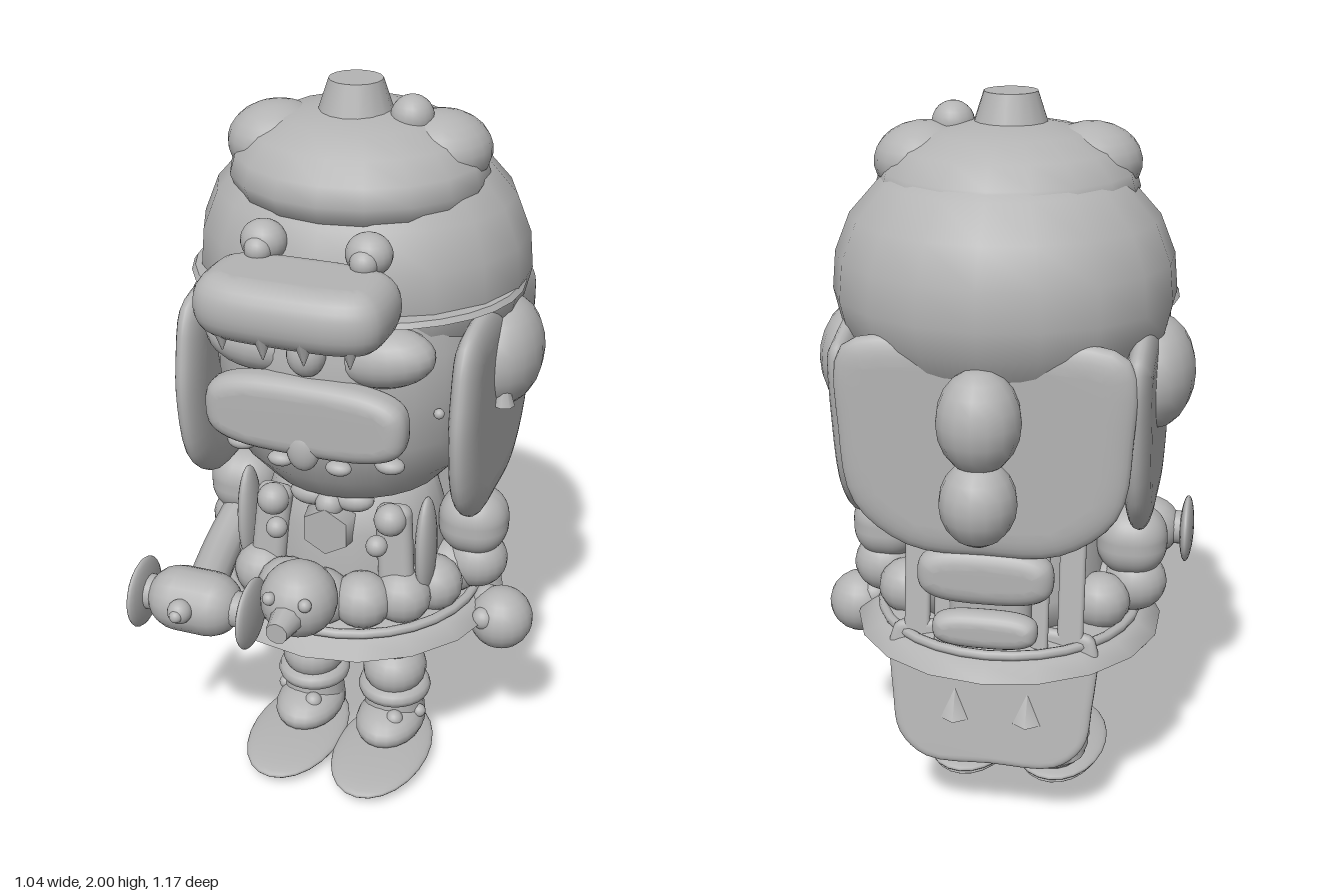
import * as THREE from 'three';
import { RoundedBoxGeometry } from 'three/addons/geometries/RoundedBoxGeometry.js';
import { mergeVertices } from 'three/addons/utils/BufferGeometryUtils.js';

export function createModel() {
  const model = new THREE.Group();
  const grey = new THREE.MeshStandardMaterial({ color: 0xb4b4b4 });
  grey.name = 'clayGrey';
  const C = -0.015; // centre line of the figure

  const add = (name, geo, x, y, z, rx = 0, ry = 0, rz = 0) => {
    const m = new THREE.Mesh(geo, grey);
    m.name = name;
    m.position.set(x, y, z);
    m.rotation.set(rx, ry, rz);
    model.add(m);
    return m;
  };
  const ball = (name, x, y, z, a, b = a, c = a, seg = 20) =>
    add(name, new THREE.SphereGeometry(1, seg, Math.round(seg * 0.65)).scale(a, b, c), x, y, z);
  const box = (name, x, y, z, w, h, d, r, rx = 0, rz = 0) =>
    add(name, new RoundedBoxGeometry(w, h, d, 5, r), x, y, z, rx, 0, rz);
  const cone = (name, x, y, z, top, bottom, h, rx = 0, rz = 0, seg = 16) =>
    add(name, new THREE.CylinderGeometry(top, bottom, h, seg), x, y, z, rx, 0, rz);
  const turned = (name, profile, x, y, z, seg, depthScale) => {
    const geo = new THREE.LatheGeometry(profile.map((p) => new THREE.Vector2(...p)), seg);
    add(name, geo.scale(1, 1, depthScale), x, y, z);
  };
  const pair = (fn) => [-1, 1].forEach(fn);
  // closed soft outline swollen to a smooth cushion, centred in depth
  const cushion = (points, depth, swell, edge) => {
    const curve = new THREE.CatmullRomCurve3(points.map(([x, y]) => new THREE.Vector3(x, y, 0)), true);
    const shape = new THREE.Shape(curve.getPoints(44).slice(0, -1).map((p) => new THREE.Vector2(p.x, p.y)));
    const geo = new THREE.ExtrudeGeometry(shape, {
      depth, bevelEnabled: true, bevelThickness: swell, bevelSize: edge, bevelOffset: -edge, bevelSegments: 6,
    }).translate(0, 0, -depth / 2);
    geo.deleteAttribute('uv');
    geo.deleteAttribute('normal');
    const smooth = mergeVertices(geo, 1e-4);
    smooth.computeVertexNormals();
    return smooth;
  };
  // rounded rectangle as a superellipse
  const roundel = (w, h, power) => Array.from({ length: 24 }, (_, i) => {
    const a = (i / 24) * Math.PI * 2;
    const bend = (v) => Math.sign(v) * Math.abs(v) ** (2 / power);
    return [w * bend(Math.cos(a)), h * bend(Math.sin(a))];
  });

  // Head and helmet
  const skull = [[0, 0.875], [0.14, 0.885], [0.25, 0.925], [0.325, 1.01], [0.365, 1.12], [0.38, 1.25], [0.38, 1.38], [0.34, 1.52]];
  turned('head', skull, C, 0, -0.03, 26, 0.97);
  const dome = [[0.39, 1.36], [0.43, 1.42], [0.449, 1.5], [0.44, 1.6], [0.4, 1.7], [0.32, 1.79], [0.2, 1.86], [0, 1.88]];
  turned('helmet', dome, C, 0, -0.1, 18, 0.895);
  cone('brim', C, 1.49, -0.04, 0.44, 0.45, 0.014, 0, 0, 32).scale.z = 0.86;

  // Lumpy crown with spout
  const crown = [[0.28, 1.68], [0.325, 1.715], [0.342, 1.76], [0.328, 1.81], [0.28, 1.865], [0.2, 1.905], [0.1, 1.925], [0, 1.93]];
  turned('crown', crown, C, 0, -0.055, 18, 0.94);
  pair((s) => ball('crownPuff', C + s * 0.21, 1.825, -0.05 - s * 0.03, 0.132, 0.1, 0.14));
  ball('crownKnob', 0.13, 1.915, -0.038, 0.056);
  cone('spout', -0.02, 1.955, -0.038, 0.07, 0.1, 0.09);

  // Snout on the helmet, with eyes and teeth
  add('snout', cushion(roundel(0.25, 0.147, 3.4), 0.016, 0.074, 0.07), -0.02, 1.558, 0.387, Math.PI / 2);
  pair((s) => {
    ball('snoutEye', C + s * 0.138, 1.66, 0.268, 0.06, 0.055, 0.055);
    ball('snoutPupil', C + s * 0.138, 1.65, 0.305, 0.036);
  });
  [-0.18, -0.065, 0.04, 0.15].forEach((x, i) =>
    cone('tooth', x, 1.487, i % 3 ? 0.5 : 0.48, 0.028, 0.002, 0.07, 0, 0, 8));

  // Face
  pair((s) => {
    ball('brow', C + s * 0.17, 1.385, 0.255, 0.14, 0.08, 0.085).rotation.z = s * 0.12;
    ball('cheekBead', C + s * 0.305, 1.22, 0.2, 0.014);
    ball('outerLip', C + s * 0.205, 1.1, 0.295, 0.04, 0.022, 0.03);
    ball('innerLip', C + s * 0.08, 1.09, 0.335, 0.035, 0.02, 0.025);
  });
  ball('nose', -0.02, 1.4, 0.33, 0.052, 0.062, 0.05);
  add('muzzle', cushion(roundel(0.272, 0.107, 3.2), 0.02, 0.04, 0.045), -0.02, 1.228, 0.338);
  ball('lowerTooth', -0.02, 1.145, 0.365, 0.045, 0.06, 0.03);

  // Side flaps with ear pads; outline x runs toward the back
  const side = [[-0.24, 1.43], [-0.285, 1.3], [-0.295, 1.17], [-0.25, 0.99], [-0.12, 0.885], [0.04, 0.872],
    [0.2, 0.885], [0.33, 1.0], [0.39, 1.2], [0.4, 1.4], [0.33, 1.43], [0.2, 1.46], [-0.1, 1.465]];
  pair((s) => {
    add('sideFlap', cushion(side, 0.004, 0.034, 0.085), C + s * 0.377, 0, 0, 0, Math.PI / 2, 0);
    ball('earPad', C + s * 0.395, 1.293, -0.083, 0.108, 0.152, 0.155, 18);
    cone('earSpike', C + s * 0.43, 1.225, 0.025, 0.004, 0.03, 0.08, 0, 0, 8);
  });

  // Rear flap with stacked buns
  const rear = [[-0.36, 1.42], [-0.375, 1.2], [-0.34, 1.0], [-0.2, 0.89], [0, 0.875], [0.2, 0.89],
    [0.34, 1.0], [0.375, 1.2], [0.36, 1.42], [0.15, 1.46], [-0.15, 1.46]];
  add('rearFlap', cushion(rear, 0.008, 0.03, 0.075), C, 0, -0.4);
  ball('upperBun', C, 1.265, -0.468, 0.108, 0.135, 0.108, 16);
  ball('lowerBun', C, 1.055, -0.482, 0.1, 0.115, 0.1, 16);

  // Coat and flared skirt with a ring of puffs
  const coat = [[0, 0.56], [0.27, 0.57], [0.27, 0.66], [0.255, 0.8], [0.225, 0.9], [0.15, 0.95], [0, 0.95]];
  turned('coat', coat, C, 0, -0.025, 24, 0.88);
  const skirt = [[0, 0.535], [0.4, 0.52], [0.43, 0.525], [0.38, 0.555], [0.31, 0.585], [0, 0.6]];
  turned('skirt', skirt, C, 0, -0.025, 18, 1);
  add('skirtBand', new THREE.TorusGeometry(0.36, 0.014, 8, 32).rotateX(Math.PI / 2), C, 0.572, -0.02);
  for (let i = 0; i < 11; i++) {
    const a = -1.95 + i * 0.39;
    ball('skirtPuff', C + Math.sin(a) * 0.29, 0.632, -0.02 + Math.cos(a) * 0.28, 0.084, 0.08, 0.08, 16);
  }
  for (let i = 0; i < 14; i++) {
    const a = (i / 14) * Math.PI * 2;
    ball('skirtBead', C + Math.sin(a) * 0.33, 0.53, -0.025 + Math.cos(a) * 0.33, 0.03, 0.016, 0.03, 10);
  }

  // Chest trim
  pair((s) => {
    ball('strap', C + s * 0.26, 0.775, 0.14, 0.027, 0.155, 0.06);
    box('lapel', C + s * 0.18, 0.78, 0.165, 0.1, 0.24, 0.06, 0.028, -0.1, s * 0.08);
    ball('chestBall', C + s * 0.17, 0.865, 0.18, 0.045);
    ball('chestButton', C + s * 0.145, 0.8, 0.22, 0.03);
    ball('bowWing', C + s * 0.06, 0.905, 0.17, 0.06, 0.035, 0.04);
  });
  ball('bowKnot', C, 0.89, 0.19, 0.04);
  cone('chestBadge', C, 0.82, 0.2, 0.07, 0.08, 0.06, Math.PI / 2, 0, 6);

  // Arms and hands
  pair((s) => {
    box('upperArm', C + s * 0.345, 0.785, -0.035, 0.195, 0.195, 0.18, 0.085);
    ball('lowerArm', C + s * 0.355, 0.66, -0.035, 0.09, 0.085, 0.085);
  });
  ball('leftCuff', 0.385, 0.54, -0.01, 0.045);
  ball('leftHand', 0.432, 0.505, 0.01, 0.09);
  ball('leftThumb', 0.395, 0.53, 0.07, 0.032);
  ball('rightHand', -0.335, 0.49, -0.02, 0.085, 0.065, 0.085);
  cone('rightFinger', -0.335, 0.435, -0.02, 0.08, 0.02, 0.06, 0, 0, 10);
  const reach = new THREE.CatmullRomCurve3([[-0.36, 0.7, 0], [-0.355, 0.66, 0.16], [-0.33, 0.635, 0.34]]
    .map((p) => new THREE.Vector3(...p)));
  add('forearm', new THREE.TubeGeometry(reach, 10, 0.055, 12), 0, 0, 0);

  // Held horn: barrel, flanges and knob
  add('hornBarrel', new THREE.CapsuleGeometry(0.09, 0.09, 6, 18).rotateZ(Math.PI / 2), -0.33, 0.635, 0.4);
  cone('hornNeck', -0.32, 0.635, 0.4, 0.05, 0.05, 0.32, 0, Math.PI / 2);
  ball('hornMouth', -0.485, 0.632, 0.402, 0.021, 0.1, 0.1);
  ball('hornEnd', -0.165, 0.632, 0.402, 0.021, 0.1, 0.1);
  ball('hornKnob', -0.335, 0.655, 0.49, 0.034);
  ball('hornTip', -0.335, 0.655, 0.515, 0.018);

  // Small beaked head held in front
  ball('beakedHead', C, 0.73, 0.425, 0.104);
  cone('beak', C, 0.72, 0.545, 0.03, 0.045, 0.08, Math.PI / 2, 0, 10);
  pair((s) => ball('beakedEye', C + s * 0.05, 0.77, 0.51, 0.018));

  // Back pads, leaning blades and the hanging board
  add('upperPad', cushion(roundel(0.18, 0.08, 3), 0.01, 0.04, 0.05), C, 0.81, -0.385);
  add('lowerPad', cushion(roundel(0.14, 0.052, 3), 0.008, 0.035, 0.035), C, 0.66, -0.398);
  box('padCore', C, 0.73, -0.28, 0.22, 0.26, 0.16, 0.04);
  pair((s) => {
    box('backBlade', C + s * 0.21, 0.72, -0.262, 0.07, 0.36, 0.024, 0.011, 0.148);
    box('backBladeOuter', C + s * 0.13, 0.7, -0.3, 0.05, 0.34, 0.024, 0.011, 0.148);
  });
  const board = [[-0.275, 0.2], [-0.275, 0], [-0.255, -0.11], [-0.18, -0.175], [0, -0.18], [0.18, -0.175],
    [0.255, -0.11], [0.275, 0], [0.275, 0.2], [0.2, 0.22], [-0.2, 0.22]];
  add('hangingBoard', cushion(board, 0.01, 0.013, 0.02), C, 0.39, -0.305, 0.148);
  const spike = new THREE.CylinderGeometry(0.002, 0.072, 0.16, 4).scale(1.5, 1, 1);
  pair((s) => add('boardSpike', spike, C + s * 0.1, 0.42, -0.284));

  // Legs and flat shoes
  pair((s) => {
    const x = C + s * 0.128;
    ball('thigh', x, 0.43, -0.008, 0.102, 0.145, 0.11);
    ball('shin', x, 0.25, -0.005, 0.094, 0.082, 0.1);
    add('ankleRing', new THREE.TorusGeometry(0.08, 0.028, 10, 24).rotateX(Math.PI / 2), x, 0.185, -0.005);
    cone('ankle', x, 0.13, -0.005, 0.082, 0.095, 0.12);
    ball('shoe', x, 0.085, 0.03, 0.1, 0.062, 0.138);
    ball('shoeButton', x + 0.03, 0.125, 0.088, 0.026);
    ball('anklePin', x + s * 0.085, 0.12, 0.02, 0.02);
    ball('sole', x + s * 0.005, 0.034, 0.12, 0.138, 0.026, 0.235, 24);
    ball('outsole', x + s * 0.005, 0.018, 0.11, 0.125, 0.018, 0.215, 24);
  });
  ball('pelvis', C, 0.54, -0.01, 0.21, 0.06, 0.15);

  return model;
}
